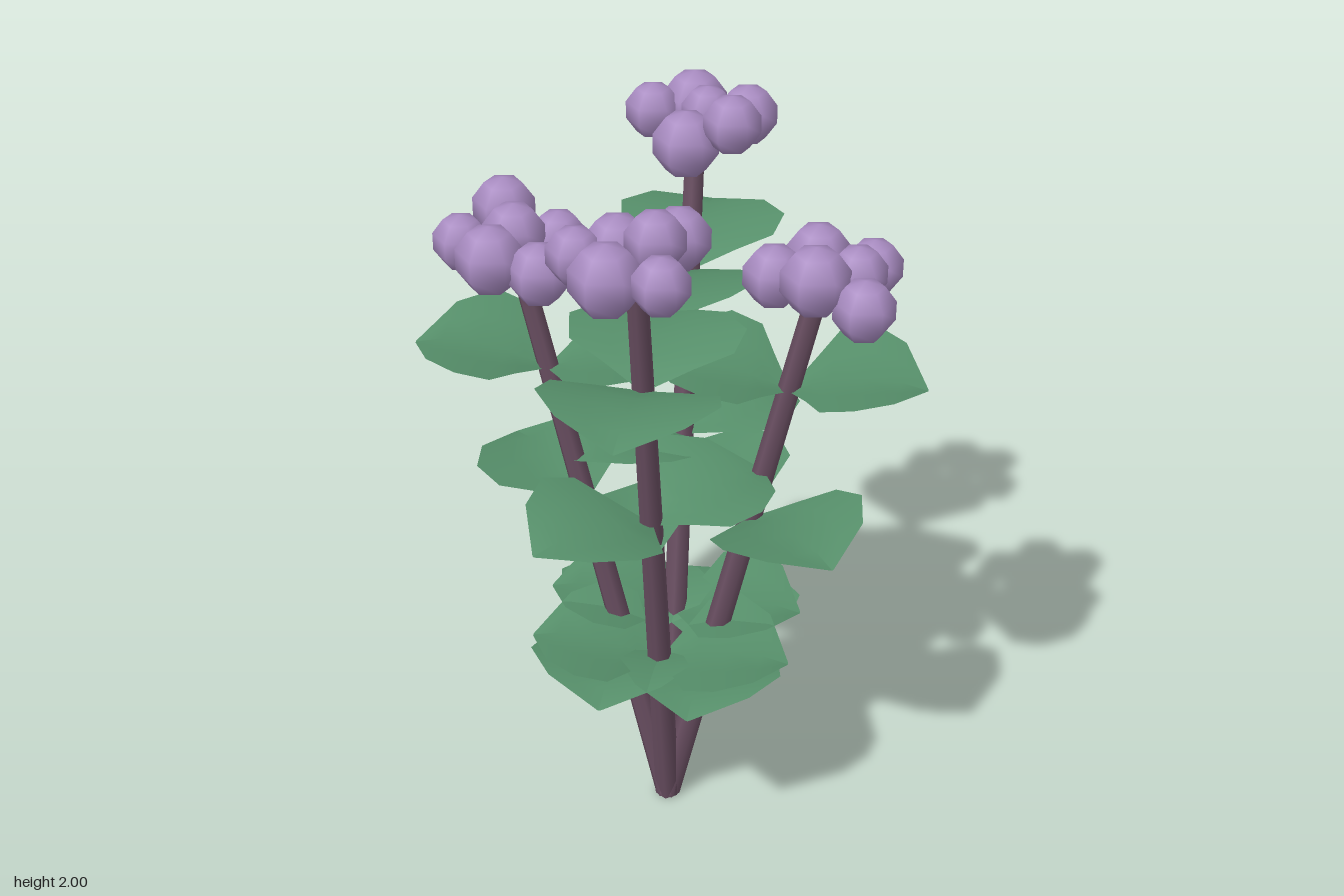
import * as THREE from 'three';

export function createModel() {
  const model = new THREE.Group();
  model.name = 'floweringPlant';
  const mat = (name, color, side = THREE.FrontSide) => {
    const m = new THREE.MeshStandardMaterial({ color, side });
    m.name = name;
    return m;
  };
  const stemMat = mat('stem brown', 0x6a4f62);
  const leafMat = mat('leaf green', 0x568f6a, THREE.DoubleSide);
  const flowerMat = mat('blossom purple', 0xa98cc2);

  // Leaf cross-sections: [distance along, half width, midrib height, edge height]
  const sections = [
    [0, 0.008, 0, 0], [0.055, 0.11, 0.02, 0.038], [0.098, 0.198, 0.035, 0.066],
    [0.18, 0.215, 0.05, 0.088], [0.27, 0.148, 0.052, 0.078], [0.34, 0.004, 0.035, 0.036],
  ];
  function leafGeometry() {
    const cols = 4, pos = [], idx = [];
    for (const [z, w, mid, edge] of sections) {
      for (let c = 0; c <= cols; c++) {
        const t = (c / cols) * 2 - 1;
        pos.push(t * w, mid + (edge - mid) * Math.abs(t), z);
      }
    }
    for (let r = 0; r < sections.length - 1; r++) {
      for (let c = 0; c < cols; c++) {
        const a = r * (cols + 1) + c, b = a + cols + 1;
        idx.push(a, b, a + 1, b, b + 1, a + 1);
      }
    }
    const g = new THREE.BufferGeometry();
    g.setAttribute('position', new THREE.Float32BufferAttribute(pos, 3));
    g.setIndex(idx);
    g.computeVertexNormals();
    return g;
  }
  const leafGeo = leafGeometry();
  const berryGeo = new THREE.SphereGeometry(1, 6, 5).rotateY(Math.PI / 2);

  // Tall stems lean to front and back, short ones to the sides
  const kinds = [
    { top: 1.82, slope: 0.206, levels: [0.55, 1.053, 1.49] },
    { top: 1.66, slope: 0.226, levels: [0.507, 0.954, 1.345] },
  ];
  for (let k = 0; k < 4; k++) {
    const { top, slope, levels } = kinds[k % 2];
    const branch = new THREE.Group();
    branch.name = 'branch';
    branch.rotation.y = THREE.MathUtils.degToRad(19.5) + (k * Math.PI) / 2;

    const lean = Math.atan(slope);
    const length = top / Math.cos(lean);
    const stem = new THREE.Mesh(
      new THREE.CylinderGeometry(0.026, 0.035, length, 6).translate(0, length / 2, 0), stemMat);
    stem.name = 'stem';
    stem.position.y = 0.007;
    stem.rotation.x = lean;
    branch.add(stem);

    // Opposite leaf pairs, each level turned by an eighth
    levels.forEach((h, i) => {
      for (let side = 0; side < 2; side++) {
        const leaf = new THREE.Mesh(leafGeo, leafMat);
        leaf.name = 'leaf';
        leaf.position.set(0, h, h * slope);
        leaf.rotation.y = ((i - 2) * Math.PI) / 4 + side * Math.PI;
        branch.add(leaf);
      }
    });
    model.add(branch);
  }

  // Blossom clusters: [x, y, z, radius] for each ball
  const clusters = {
    front: [[0.05, 1.86, 0.31, 0.082], [0.187, 1.9, 0.27, 0.076], [-0.013, 1.86, 0.39, 0.07],
      [0.177, 1.93, 0.357, 0.073], [0.12, 1.872, 0.475, 0.088], [0.245, 1.88, 0.45, 0.07]],
    right: [[0.314, 1.69, -0.177, 0.082], [0.445, 1.675, -0.21, 0.075], [0.242, 1.655, -0.09, 0.08],
      [0.448, 1.7, -0.12, 0.073], [0.386, 1.712, -0.02, 0.088], [0.507, 1.66, -0.036, 0.078]],
    back: [[-0.177, 1.875, -0.44, 0.085], [-0.046, 1.855, -0.48, 0.078], [-0.25, 1.87, -0.357, 0.072],
      [-0.11, 1.885, -0.386, 0.068], [-0.105, 1.845, -0.27, 0.086], [0.007, 1.91, -0.3, 0.075]],
    left: [[-0.438, 1.725, 0.045, 0.081], [-0.304, 1.66, 0.01, 0.073], [-0.508, 1.652, 0.135, 0.073],
      [-0.367, 1.7, 0.11, 0.08], [-0.363, 1.68, 0.222, 0.088], [-0.243, 1.66, 0.193, 0.08]],
  };
  for (const [name, balls] of Object.entries(clusters)) {
    const cluster = new THREE.Group();
    cluster.name = name + 'BlossomCluster';
    for (const [x, y, z, r] of balls) {
      const ball = new THREE.Mesh(berryGeo, flowerMat);
      ball.name = 'blossom';
      ball.position.set(x, y, z);
      ball.scale.setScalar(r);
      cluster.add(ball);
    }
    model.add(cluster);
  }
  return model;
}
